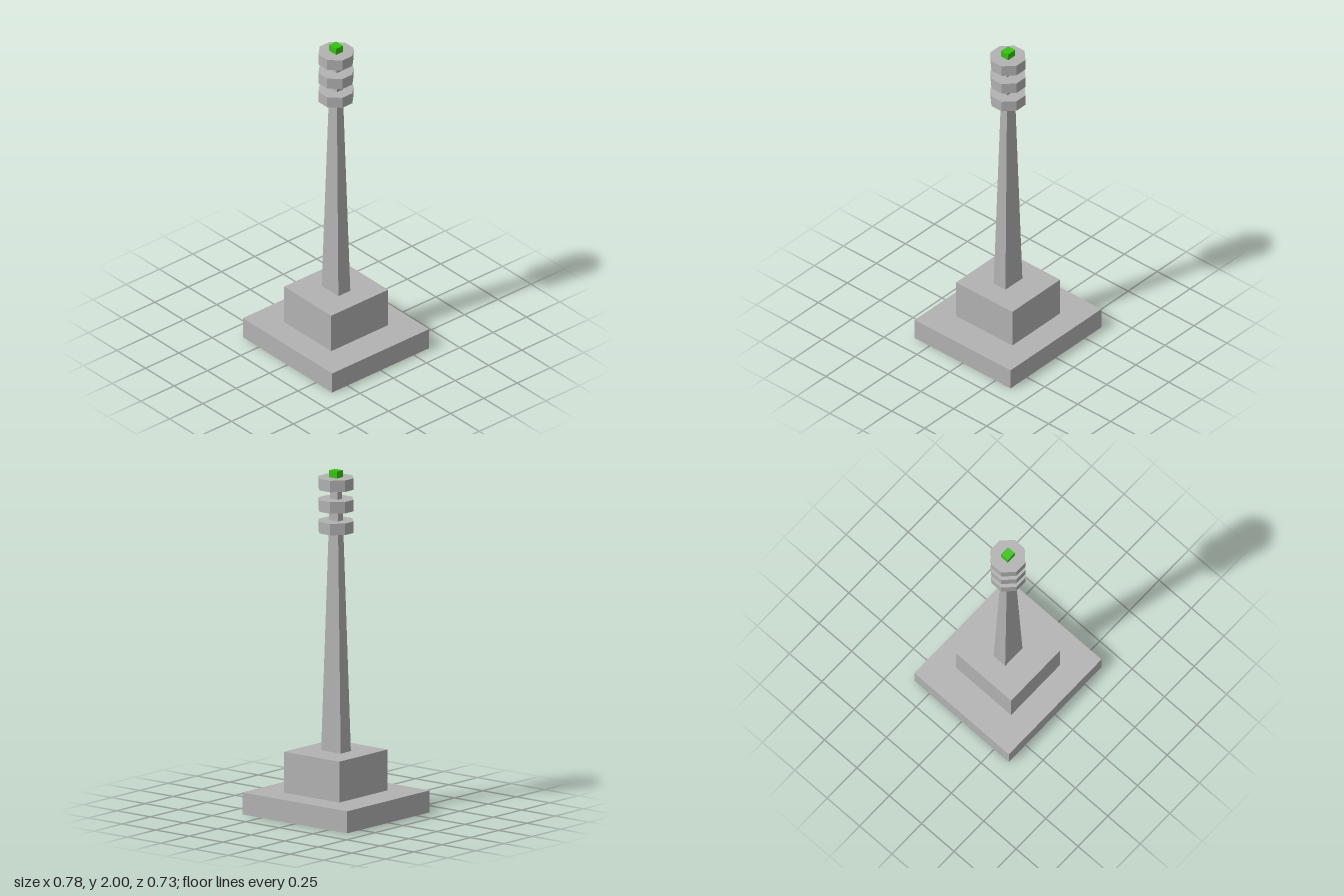
import * as THREE from 'three';

export function createModel() {
  const model = new THREE.Group();
  model.name = 'tower';

  const stone = new THREE.MeshStandardMaterial({ color: 0xb2b2b2, side: THREE.DoubleSide, flatShading: true });
  stone.name = 'stone grey';
  const green = new THREE.MeshStandardMaterial({ color: 0x37c211, flatShading: true });
  green.name = 'lamp green';

  function add(name, geometry, material, x = 0, y = 0, z = 0) {
    const mesh = new THREE.Mesh(geometry, material);
    mesh.name = name;
    mesh.position.set(x, y, z);
    model.add(mesh);
    return mesh;
  }

  // Thin-walled box with no underside
  function openBox(w, h, d) {
    const geometry = new THREE.BoxGeometry(w, h, d);
    const index = Array.from(geometry.index.array);
    index.splice(18, 6);
    geometry.setIndex(index);
    geometry.clearGroups();
    return geometry;
  }

  // Stepped base, hollow from below
  add('baseSlab', openBox(0.78, 0.128, 0.728), stone, 0, 0.064, 0);
  add('plinth', openBox(0.411, 0.347, 0.427), stone, 0, 0.1925, -0.001);

  // Tapered rectangular shaft
  const bottom = 0.36, top = 1.96;
  const shaft = new THREE.BoxGeometry(1, top - bottom, 1);
  const p = shaft.attributes.position;
  for (let i = 0; i < p.count; i++) {
    const up = p.getY(i) > 0;
    p.setX(i, p.getX(i) * (up ? 0.052 : 0.146));
    p.setZ(i, p.getZ(i) * (up ? 0.036 : 0.09));
  }
  shaft.computeVertexNormals();
  add('shaft', shaft, stone, 0, (bottom + top) / 2, 0);

  // Three octagonal rings near the top
  const a = 0.099, b = 0.038;
  const octagon = new THREE.Shape(
    [[a, -b], [a, b], [b, a], [-b, a], [-a, b], [-a, -b], [-b, -a], [b, -a]]
      .map(([x, y]) => new THREE.Vector2(x, y)));
  const ring = new THREE.ExtrudeGeometry(octagon, { depth: 0.067, bevelEnabled: false });
  ring.rotateX(-Math.PI / 2);
  [1.642, 1.768, 1.893].forEach((y, i) => add('ring' + (i + 1), ring, stone, 0, y, 0));

  // Lamp on top
  add('lamp', new THREE.BoxGeometry(0.06, 0.05, 0.053), green, 0, 1.975, -0.001);

  return model;
}
